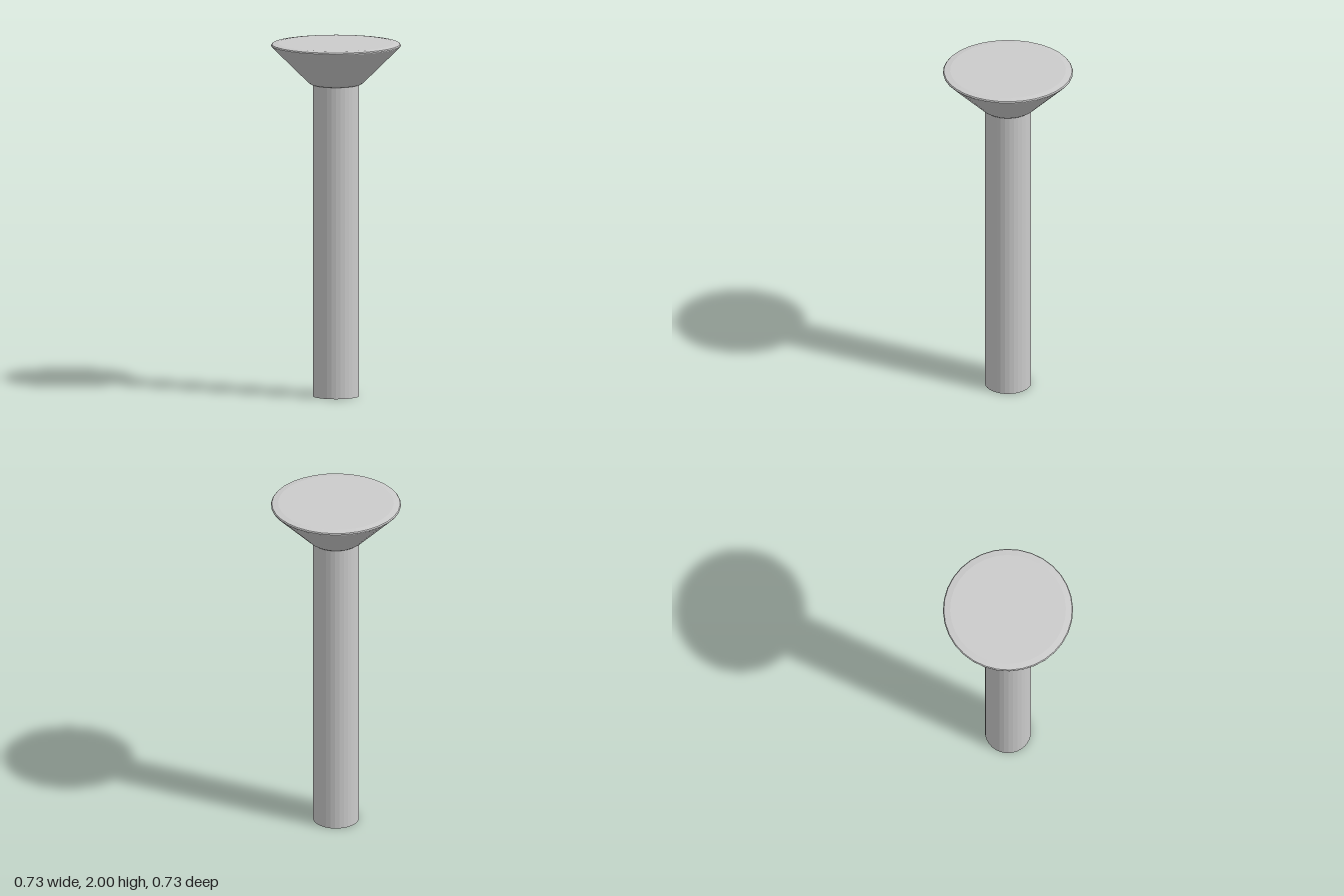
import * as THREE from 'three';

const SIDES = 32;

export function createModel() {
  const group = new THREE.Group();
  const material = new THREE.MeshStandardMaterial({ color: 0xcccccc, flatShading: true });

  // Turns a [radius, height] profile, listed from bottom to top
  const addTurned = (name, profile) => {
    const points = profile.map(([r, y]) => new THREE.Vector2(r, y));
    const mesh = new THREE.Mesh(new THREE.LatheGeometry(points, SIDES), material);
    mesh.name = name;
    group.add(mesh);
  };

  // Straight shank with a flat end
  addTurned('shank', [[0, 0], [0.13, 0], [0.13, 1.77]]);

  // Countersunk head: softened neck, cone, thin rim and slightly crowned top
  addTurned('head', [
    [0.13, 1.765], [0.143, 1.769], [0.158, 1.78],
    [0.364, 1.984], [0.365, 1.989], [0.36, 1.995],
    [0.325, 2], [0, 2],
  ]);

  return group;
}
